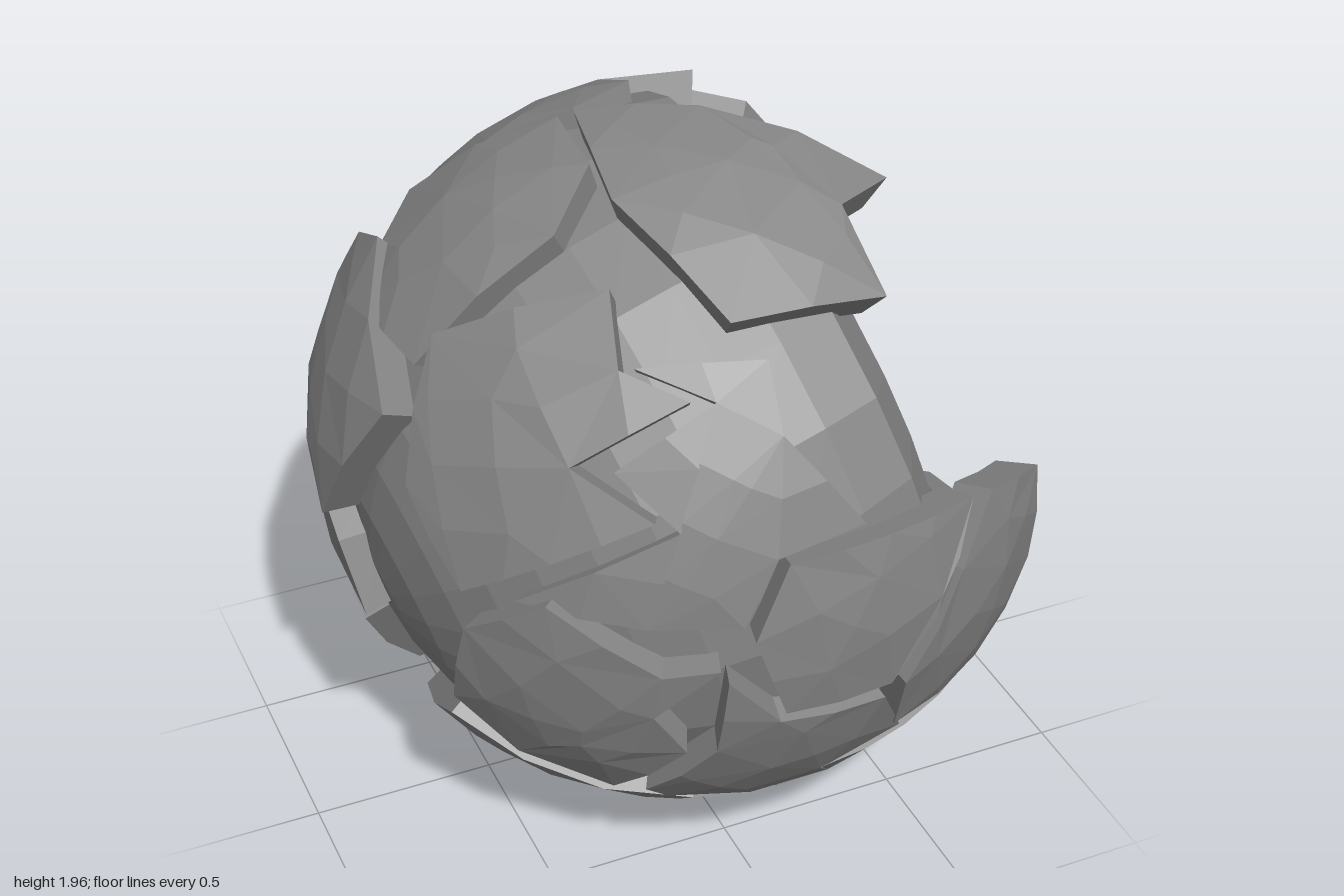
import * as THREE from 'three';

const stone = new THREE.MeshStandardMaterial({ color: 0x858585, flatShading: true });
stone.name = 'grey stone';

// Shell radii, and distance of the outer and inner rim along the opening axis
const OUTER = 0.91, INNER = 0.77, OUTER_CUT = 0.32, INNER_CUT = 0.41;
const openAxis = new THREE.Vector3(0.95, 0.3, 0).normalize();
const turnToOpening = new THREE.Quaternion().setFromUnitVectors(new THREE.Vector3(0, 1, 0), openAxis);
let seed = 7;
const rnd = () => (seed = (seed * 16807) % 2147483647) / 2147483647;

// Facing frames: azimuth from +z towards +x, then elevation, in degrees
const frame = (azimuth, elevation) => {
  const a = azimuth * Math.PI / 180, e = elevation * Math.PI / 180;
  return {
    right: new THREE.Vector3(Math.cos(a), 0, -Math.sin(a)),
    up: new THREE.Vector3(-Math.sin(a) * Math.sin(e), Math.cos(e), -Math.cos(a) * Math.sin(e)),
    out: new THREE.Vector3(Math.sin(a) * Math.cos(e), Math.sin(e), Math.cos(a) * Math.cos(e)),
  };
};
const FRONT = frame(0, 0), SIDE = frame(90, 0), TOP = frame(0, 90), BOTTOM = frame(0, -90);
const BACK_LEFT = frame(215, 24), BACK_RIGHT = frame(145, -24);

// Thick curved plate whose outline is given flat in a facing frame
function plate(f, outline, R = 0.98, depth = 0.11) {
  const flat = [];
  for (let i = 0; i < outline.length; i += 2) flat.push(new THREE.Vector2(outline[i], outline[i + 1]));
  if (THREE.ShapeUtils.area(flat) < 0) flat.reverse();
  const dirs = flat.map((p) => {
    const w = Math.sqrt(Math.max(0, 0.96 - p.lengthSq()));
    return new THREE.Vector3().addScaledVector(f.right, p.x)
      .addScaledVector(f.up, p.y).addScaledVector(f.out, w).normalize();
  });
  const pos = [], r = R - depth, FACET = 0.27;
  const put = (radius, ...list) => list.forEach((d) => pos.push(d.x * radius, d.y * radius, d.z * radius));
  const mid = (a, b) => a.clone().add(b).normalize();
  // Halve the longest edge until every facet is small enough
  const cap = (a, b, c) => {
    const ab = a.distanceTo(b), bc = b.distanceTo(c), ca = c.distanceTo(a);
    const longest = Math.max(ab, bc, ca);
    if (longest < FACET) { put(R, a, b, c); put(r, a, c, b); return; }
    if (longest === bc) { cap(b, c, a); return; }
    if (longest === ca) { cap(c, a, b); return; }
    const m = mid(a, b);
    cap(a, m, c); cap(m, b, c);
  };
  const wall = (a, b) => {
    if (a.distanceTo(b) >= FACET) { const m = mid(a, b); wall(a, m); wall(m, b); return; }
    put(R, a); put(r, a, b);
    put(R, a); put(r, b); put(R, b);
  };
  for (const [i, j, k] of THREE.ShapeUtils.triangulateShape(flat, [])) {
    const ccw = flat[j].clone().sub(flat[i]).cross(flat[k].clone().sub(flat[i])) > 0;
    cap(dirs[i], dirs[ccw ? j : k], dirs[ccw ? k : j]);
  }
  dirs.forEach((d, i) => wall(d, dirs[(i + 1) % dirs.length]));
  const g = new THREE.BufferGeometry();
  g.setAttribute('position', new THREE.Float32BufferAttribute(pos, 3));
  g.computeVertexNormals();
  const mesh = new THREE.Mesh(g, stone);
  mesh.name = 'crustPlate';
  return mesh;
}

// Hollow ball, open on one side with a sloping rim
function shell() {
  const pts = [], n = 11;
  const arc = (radius, from, to) => {
    for (let i = 0; i <= n; i++) {
      const a = from + (to - from) * i / n;
      pts.push(new THREE.Vector2(Math.max(0, Math.sin(a) * radius), Math.cos(a) * radius));
    }
  };
  arc(OUTER, Math.PI, Math.acos(OUTER_CUT / OUTER));
  arc(INNER, Math.acos(INNER_CUT / INNER), Math.PI);
  const mesh = new THREE.Mesh(new THREE.LatheGeometry(pts, 24), stone);
  mesh.quaternion.copy(turnToOpening);
  mesh.name = 'hollowShell';
  return mesh;
}

// Pointed crystals growing inwards from the cavity wall
function crystals() {
  const group = new THREE.Group();
  group.name = 'crystals';
  const geo = new THREE.LatheGeometry([[0, 0], [0.25, 0], [1, 0.72], [0, 1]]
    .map(([x, y]) => new THREE.Vector2(x, y)), 5);
  const count = 190;
  for (let i = 0; i < count; i++) {
    const y = 0.48 - 1.46 * Math.pow((i + 0.5) / count, 1.5);
    const a = i * 2.39996 + rnd() * 0.8, s = Math.sqrt(1 - y * y);
    const d = new THREE.Vector3(Math.cos(a) * s, y, Math.sin(a) * s).applyQuaternion(turnToOpening);
    const m = new THREE.Mesh(geo, stone);
    m.position.copy(d).multiplyScalar(INNER - 0.01);
    const lean = new THREE.Vector3(rnd() - 0.5, rnd() - 0.5, rnd() - 0.5).multiplyScalar(0.6);
    m.quaternion.setFromUnitVectors(new THREE.Vector3(0, 1, 0), d.negate().add(lean).normalize());
    const w = 0.018 + rnd() * 0.024;
    m.scale.set(w, 0.1 + rnd() * 0.11, w);
    m.name = 'crystal';
    group.add(m);
  }
  return group;
}

export function createModel() {
  const model = new THREE.Group();
  model.name = 'crackedGeode';
  const body = new THREE.Group();
  body.name = 'body';
  body.position.set(0.09, 0.99, 0);
  model.add(body);
  body.add(shell(), crystals());

  const crust = new THREE.Group();
  crust.name = 'crust';
  body.add(crust);
  crust.add(
    // front plates
    plate(FRONT, [-.14, .24, .39, .24, .27, -.04, .15, -.21, -.14, -.21, -.23, .04]),
    plate(FRONT, [.46, .22, .68, .14, .68, -.15, .53, -.41, .22, -.44, .2, -.24, .35, .06]),
    plate(FRONT, [-.29, -.08, -.15, -.24, .14, -.26, .25, -.47, .04, -.57, .11, -.67, -.33, -.64, -.4, -.58, -.29, -.34]),
    plate(FRONT, [-.67, .11, -.44, -.06, -.31, -.04, -.45, -.2, -.36, -.34, -.47, -.58, -.68, -.49, -.82, -.32, -.82, -.03]),
    plate(FRONT, [-.39, .78, -.43, .65, -.3, .6, -.58, .45, -.43, .35, -.82, .08, -.88, .28, -.75, .6]),
    plate(FRONT, [-.4, .66, -.09, .67, -.1, .52, .08, .28, -.16, .24, -.25, .06, -.47, .06, -.74, .08, -.38, .32, -.5, .45, -.24, .6], 0.945),
    plate(FRONT, [.04, -.56, .55, -.49, .6, -.52, .47, -.73, .3, -.81, .02, -.85, 0, -.75, .11, -.67]),
    plate(FRONT, [-.8, -.45, -.47, -.65, -.26, -.67, -.08, -.72, -.08, -.84, -.21, -.82, -.21, -.88, -.55, -.8, -.76, -.63]),
    // plates around the opening
    plate(SIDE, [-.44, -.34, .11, -.45, .11, -.67, -.1, -.8, -.34, -.65], 0.955),
    plate(BACK_RIGHT, [-.48, -.03, .15, -.26, 0, -.69, -.31, -.8, -.53, -.44], 0.985),
    plate(SIDE, [.72, .68, .94, .26, .9, .06, .64, .2, .64, .57], 1.0, 0.14),
    // top plates
    plate(TOP, [-.24, .14, .03, -.03, .41, -.31, .23, -.42, .25, -.63, -.16, -.63, -.3, -.25]),
    plate(TOP, [-.6, .39, -.28, .15, -.3, -.11, -.45, -.25, -.8, -.2, -.82, .13]),
    plate(TOP, [-.59, .42, -.49, .71, 0, .81, .07, .68, .2, .39, -.03, .5, -.03, .29, -.22, .21], 0.96),
    // back plates
    plate(BACK_LEFT, [.46, .33, .83, .24, .81, -.2, .54, -.1, .4, .08, .15, -.02], 1.01, 0.13),
    plate(BACK_LEFT, [-.08, -.13, .12, -.05, .36, -.19, .44, -.47, .21, -.63, -.05, -.51, -.15, -.37]),
    plate(BACK_LEFT, [-.49, .13, 0, .02, -.14, -.16, -.1, -.34, -.28, -.38, -.49, -.13]),
    plate(BACK_LEFT, [-.83, -.19, -.58, -.15, -.2, -.42, -.11, -.63, -.2, -.77, -.66, -.57, -.8, -.45]),
    plate(BACK_LEFT, [-.08, -.66, .5, -.49, .77, -.51, .52, -.8, .1, -.95, -.14, -.83]),
    plate(BACK_LEFT, [.47, -.16, .82, -.27, .83, -.42, .52, -.43]),
    plate(BACK_RIGHT, [.08, .01, .48, .16, .63, -.08, .25, -.31], 0.96),
    plate(BACK_RIGHT, [.13, -.44, .38, -.26, .8, -.32, .83, -.4, .38, -.87, .05, -.71], 0.975),
    // plate it rests on
    plate(BOTTOM, [-.3, .3, .05, .38, .1, .12, .36, .05, .25, -.3, -.15, -.38, -.4, -.1]),
  );
  return model;
}
